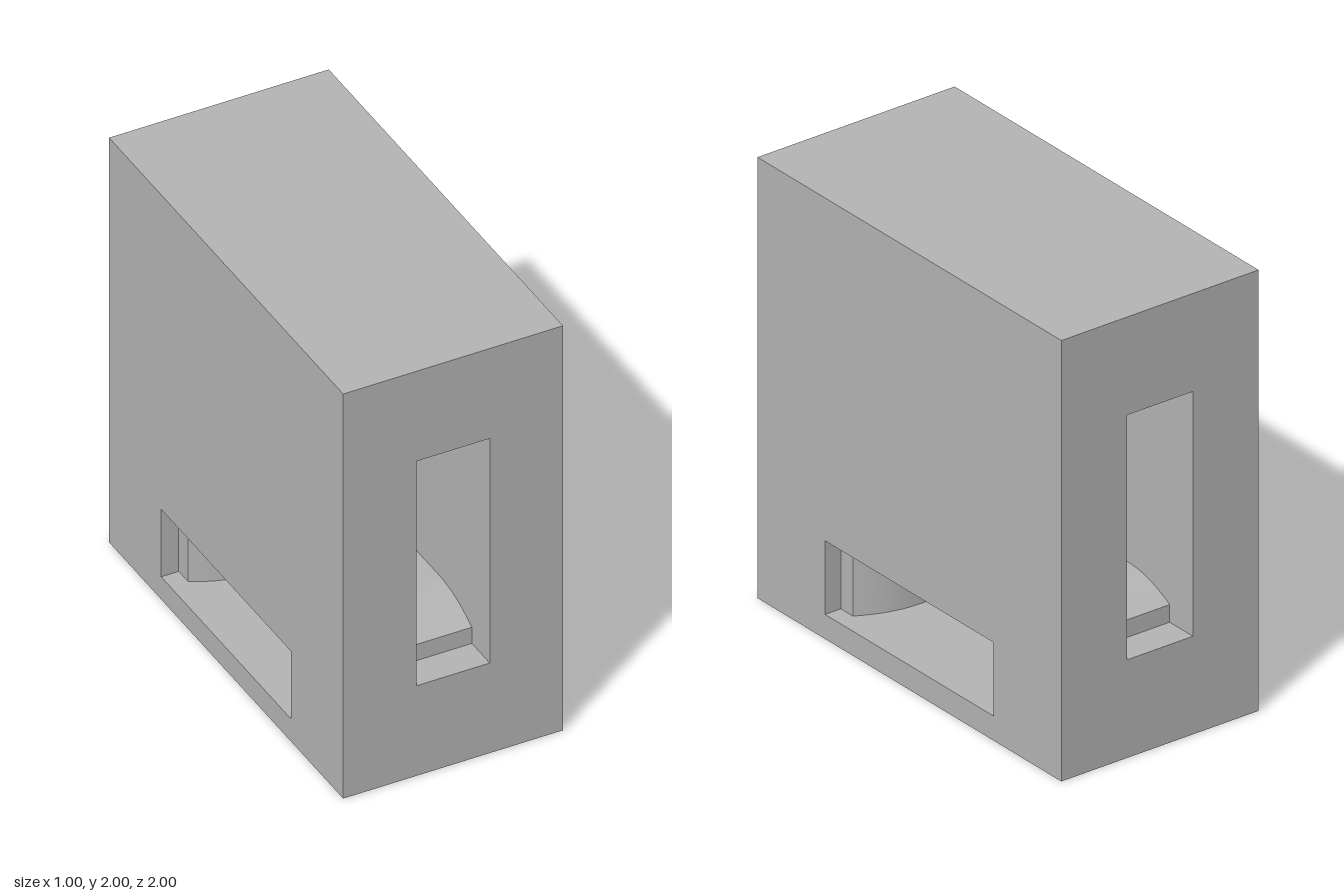
import * as THREE from 'three';
import { toCreasedNormals } from 'three/addons/utils/BufferGeometryUtils.js';

const grey = new THREE.MeshStandardMaterial({ color: 0xb4b4b4 });
grey.name = 'grey';

const HALF_SLOT = 0.167; // half the narrow size of every slot
const MOUTH = 0.555; // half the long size at the mouth
const STEP = 0.08; // height of the ledge and of the curved rise
const RUN = 0.28; // length of the curved rise

// Slot outline as [depth, half length]: mouth, ledge, curved rise, straight throat
function slotProfile(ledgeDepth, depth) {
  const points = [[0, MOUTH], [ledgeDepth, MOUTH]];
  for (let i = 0; i <= 10; i++) {
    const t = i / 10;
    points.push([ledgeDepth + RUN * t, MOUTH - STEP - STEP * (1 - (1 - t) ** 2)]);
  }
  points.push([depth, MOUTH - 2 * STEP]);
  return points;
}

// Inward-facing lining; mouth at z = 0, running toward -z
function slotLining(profile, closed) {
  const w = HALF_SLOT;
  const rings = profile.map(([d, h]) => [[-w, -h, -d], [w, -h, -d], [w, h, -d], [-w, h, -d]]);
  const positions = [];
  const quad = (a, b, c, d) => positions.push(...a, ...b, ...c, ...a, ...c, ...d);
  for (let r = 0; r < rings.length - 1; r++) {
    for (let i = 0; i < 4; i++) {
      const j = (i + 1) % 4;
      const ledge = profile[r][0] === profile[r + 1][0];
      if (ledge && i % 2 === 1) continue; // the ledge only exists at the slot ends
      quad(rings[r][i], rings[r][j], rings[r + 1][j], rings[r + 1][i]);
    }
  }
  if (closed) quad(...rings[rings.length - 1]);
  const geometry = new THREE.BufferGeometry();
  geometry.setAttribute('position', new THREE.Float32BufferAttribute(positions, 3));
  geometry.computeVertexNormals();
  return toCreasedNormals(geometry, 0.4);
}

// Flat wall with a rectangular opening
function wallGeometry(halfW, halfH, holeX) {
  const rect = (path, x, w, h) => path.moveTo(x - w, -h).lineTo(x + w, -h).lineTo(x + w, h).lineTo(x - w, h).closePath();
  const shape = new THREE.Shape();
  rect(shape, 0, halfW, halfH);
  const hole = new THREE.Path();
  rect(hole, holeX, HALF_SLOT, MOUTH);
  shape.holes.push(hole);
  return new THREE.ShapeGeometry(shape);
}

function add(parent, name, geometry) {
  const mesh = new THREE.Mesh(geometry, grey);
  mesh.name = name;
  parent.add(mesh);
  return mesh;
}

// A wall with its slot, turned so local z points along the outward axis
function slottedWall(name, wall, lining, holeX, axes, distance) {
  const group = new THREE.Group();
  group.name = name;
  add(group, name + 'Face', wall);
  add(group, name + 'Slot', lining).position.x = holeX;
  group.quaternion.setFromRotationMatrix(new THREE.Matrix4().makeBasis(...axes));
  group.position.copy(axes[2]).multiplyScalar(distance);
  group.position.y += 1;
  return group;
}

export function createModel() {
  const model = new THREE.Group();
  model.name = 'slottedBlock';
  const v = (x, y, z) => new THREE.Vector3(x, y, z);

  // Blind upright slots at front and back; one low slot passing from side to side
  const endWall = wallGeometry(0.5, 1, 0);
  const endLining = slotLining(slotProfile(0.153, 0.75), true);
  const sideX = -0.722;
  const sideWall = wallGeometry(1, 1, sideX);
  const sideLining = slotLining(slotProfile(0.08, 0.5), false);
  for (const s of [1, -1]) {
    model.add(slottedWall(s > 0 ? 'frontWall' : 'backWall', endWall, endLining, 0,
      [v(s, 0, 0), v(0, 1, 0), v(0, 0, s)], 1));
    model.add(slottedWall(s > 0 ? 'leftWall' : 'rightWall', sideWall, sideLining, sideX,
      [v(0, 1, 0), v(0, 0, s), v(s, 0, 0)], 0.5));

    // Plain top and bottom
    const cap = add(model, s > 0 ? 'top' : 'bottom', new THREE.PlaneGeometry(1, 2));
    cap.rotation.x = -s * Math.PI / 2;
    cap.position.y = 1 + s;
  }
  return model;
}
